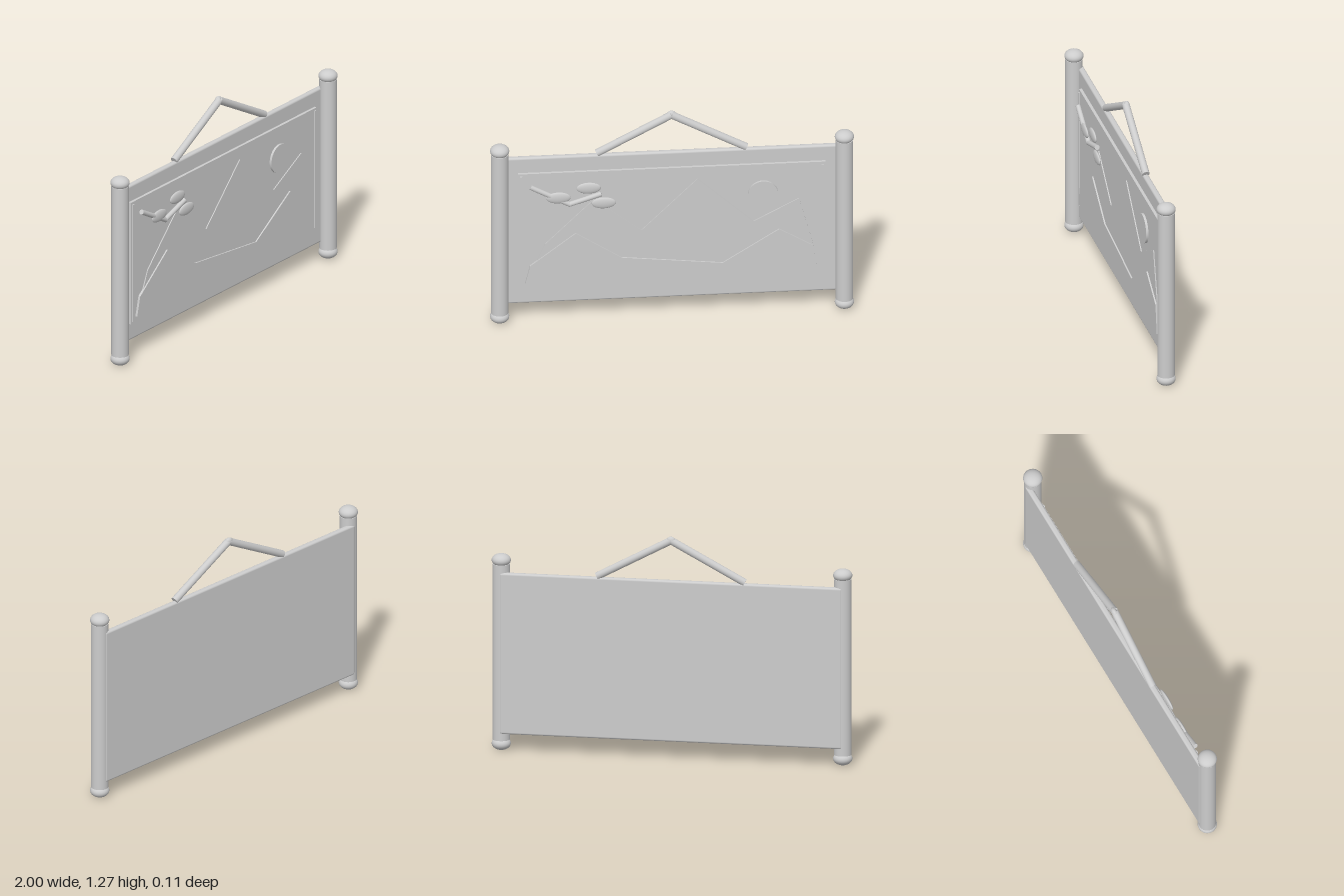
import * as THREE from 'three';
import { RoundedBoxGeometry } from 'three/addons/geometries/RoundedBoxGeometry.js';

export function createModel() {
  const root = new THREE.Group();
  const grey = new THREE.MeshStandardMaterial({ color: 0xcccccc });
  grey.name = 'light grey';

  function add(name, geometry, x, y, z) {
    const mesh = new THREE.Mesh(geometry, grey);
    mesh.name = name;
    mesh.position.set(x, y, z);
    root.add(mesh);
    return mesh;
  }
  function ellipsoid(name, x, y, z, rx, ry, rz) {
    return add(name, new THREE.SphereGeometry(1, 32, 20).scale(rx, ry, rz), x, y, z);
  }
  // Straight round bar between two points in a plane of constant z
  function bar(name, [x1, y1], [x2, y2], z, radius) {
    const length = Math.hypot(x2 - x1, y2 - y1);
    const mesh = add(name, new THREE.CylinderGeometry(radius, radius, length, 20),
      (x1 + x2) / 2, (y1 + y2) / 2, z);
    mesh.rotation.z = Math.atan2(y2 - y1, x2 - x1) - Math.PI / 2;
  }
  // Flat relief cut from an outline
  function relief(name, points, z, depth) {
    const shape = new THREE.Shape(points.map(([x, y]) => new THREE.Vector2(x, y)));
    add(name, new THREE.ExtrudeGeometry(shape, { depth, bevelEnabled: false }), 0, 0, z);
  }

  // Backing panel with softened edges, and the picture plate on it
  add('panel', new RoundedBoxGeometry(1.9, 0.917, 0.034, 3, 0.012), 0, 0.559, -0.034);
  add('picturePlate', new THREE.BoxGeometry(1.69, 0.722, 0.018), 0, 0.564, -0.01);

  // Side posts with flattened ball ends, and border strips
  for (const side of [-1, 1]) {
    const label = side > 0 ? 'left' : 'right';
    const x = side * 0.947;
    add(label + 'Post', new THREE.CylinderGeometry(0.048, 0.048, 1.0, 40), x, 0.56, 0);
    ellipsoid(label + 'TopKnob', x, 1.08, 0, 0.053, 0.036, 0.053);
    ellipsoid(label + 'BottomKnob', x, 0.037, 0, 0.053, 0.037, 0.053);
    add(label + 'BorderStrip', new THREE.BoxGeometry(0.014, 0.695, 0.01), side * 0.829, 0.564, 0.001);
    bar(label + 'Hanger', [side * 0.41, 1.022], [0, 1.243], -0.034, 0.021);
  }
  ellipsoid('hangerKnot', 0, 1.245, -0.038, 0.025, 0.021, 0.016);

  // Two mountain ranges
  relief('farMountains', [[-0.8, 0.245], [0.8, 0.245], [0.771, 0.43], [0.698, 0.704], [0.447, 0.57],
    [0.14, 0.853], [-0.168, 0.543], [-0.43, 0.75], [-0.698, 0.48]], -0.003, 0.008);
  relief('nearMountains', [[-0.807, 0.24], [0.802, 0.24], [0.775, 0.406], [0.588, 0.518],
    [0.278, 0.32], [-0.278, 0.38], [-0.53, 0.545], [-0.78, 0.35]], 0, 0.013);

  // Sun disc
  const sun = add('sun', new THREE.CylinderGeometry(0.083, 0.083, 0.014, 48), 0.5, 0.74, 0.005);
  sun.rotation.x = Math.PI / 2;

  // Bent branch with three leaves
  bar('outerBranch', [-0.78, 0.855], [-0.56, 0.735], 0.022, 0.014);
  bar('innerBranch', [-0.565, 0.737], [-0.39, 0.795], 0.022, 0.014);
  for (const [x, y] of [[-0.626, 0.783], [-0.46, 0.837], [-0.377, 0.74]]) {
    ellipsoid('leaf', x, y, 0.027, 0.067, 0.034, 0.012);
  }
  return root;
}
